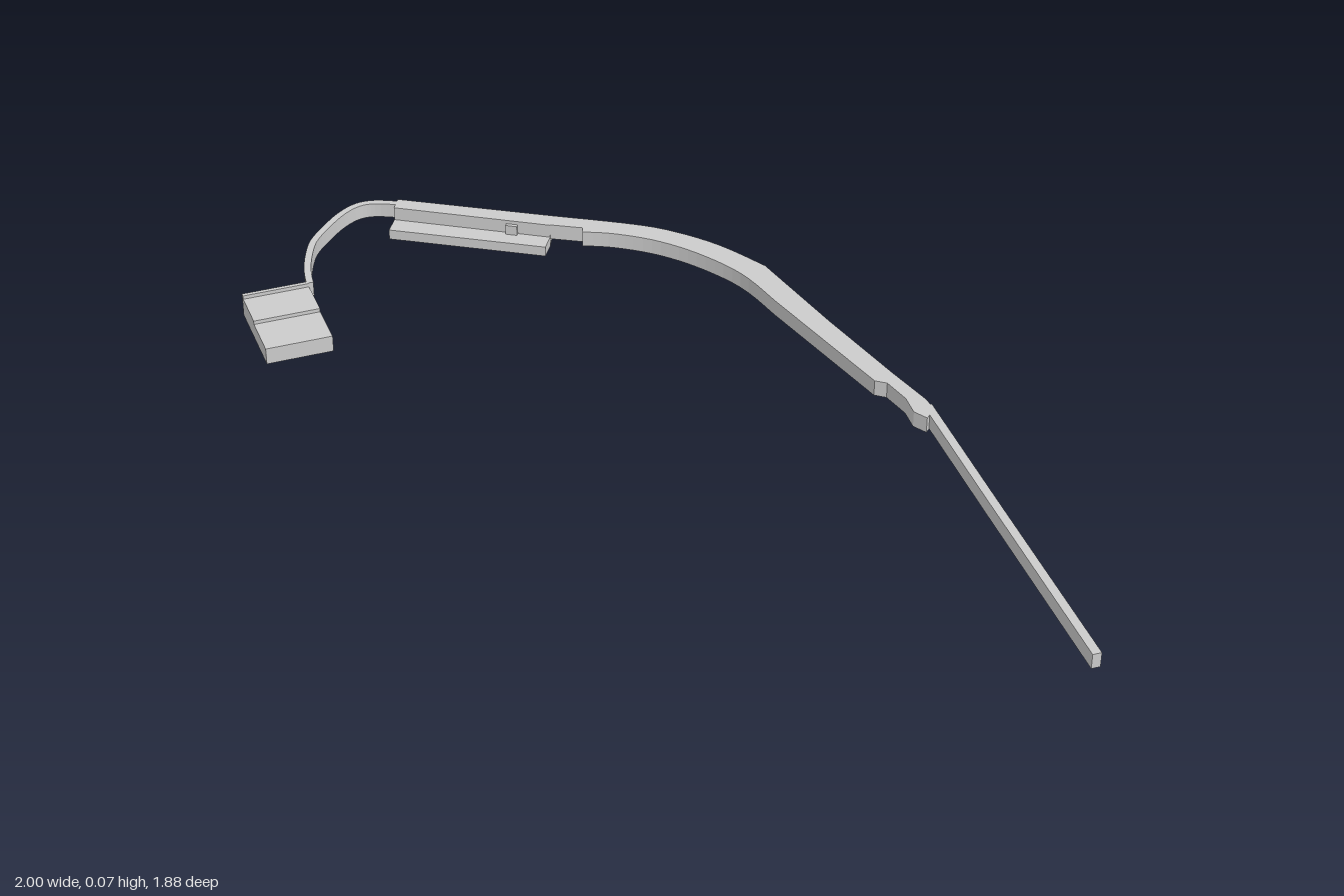
import * as THREE from 'three';

const TOP = 0.065, BASE = 0.025;
const material = new THREE.MeshStandardMaterial({ color: 0xcccccc, flatShading: true });
const vectors = (points) => points.map(([x, z]) => new THREE.Vector2(x, z));

// Smooth plan curve through a few points
const smooth = (points, n = 24) => new THREE.SplineCurve(vectors(points)).getPoints(n).map((p) => [p.x, p.y]);

// Extrudes a plan outline of [x, z] points from y0 up to y1
function slab(name, outline, y0, y1) {
  const shape = new THREE.Shape(vectors(outline.map(([x, z]) => [x, -z])));
  const geometry = new THREE.ExtrudeGeometry(shape, { depth: y1 - y0, bevelEnabled: false });
  geometry.rotateX(-Math.PI / 2).translate(0, y0, 0);
  const mesh = new THREE.Mesh(geometry, material);
  mesh.name = name;
  return mesh;
}

// Plan outline of constant width around a centre line
function ribbon(points, width) {
  const sides = [[], []];
  points.forEach(([x, z], i) => {
    const a = points[Math.max(i - 1, 0)], b = points[Math.min(i + 1, points.length - 1)];
    const dx = b[0] - a[0], dz = b[1] - a[1], k = width / 2 / Math.hypot(dx, dz);
    sides[0].push([x - dz * k, z + dx * k]);
    sides[1].unshift([x + dz * k, z - dx * k]);
  });
  return [...sides[0], ...sides[1]];
}

export function createModel() {
  const group = new THREE.Group();
  group.name = 'curvedWall';

  // Broad wall: smooth bend, then a straight run with a stepped inner edge
  const outer = [
    ...smooth([[-0.22, -0.86], [0, -0.815], [0.11, -0.775], [0.22, -0.71], [0.33, -0.615]]),
    [0.48, -0.36], [0.62, -0.135], [0.695, -0.02], [0.71, 0.02],
  ];
  const inner = [
    [0.69, 0.055], [0.66, 0.03], [0.645, -0.025], [0.605, -0.09], [0.575, -0.1],
    ...smooth([[0.35, -0.45], [0.27, -0.575], [0.165, -0.67], [0.055, -0.735], [-0.055, -0.77], [-0.14, -0.78]]),
    [-0.14, -0.8], [-0.225, -0.815],
  ];
  group.add(slab('bendWall', [...outer, ...inner], 0.022, TOP));

  // Deeper straight wall with a low ledge and a small block on its inner face
  group.add(slab('straightWall', [[-0.63, -0.945], [-0.22, -0.86], [-0.225, -0.813], [-0.638, -0.903]], 0, TOP));
  group.add(slab('ledge', [[-0.638, -0.903], [-0.225, -0.813], [-0.237, -0.765], [-0.65, -0.852]], 0, 0.028));
  group.add(slab('wallBlock', [[-0.34, -0.84], [-0.31, -0.834], [-0.312, -0.822], [-0.342, -0.829]], 0.028, 0.055));

  // Long thin tail
  group.add(slab('tailWall', ribbon([[0.695, 0], [0.72, 0.08], [0.81, 0.37], [0.985, 0.928]], 0.022), BASE, TOP));

  // Thin curved wall leading to the platform
  const hook = smooth([[-0.63, -0.927], [-0.69, -0.932], [-0.735, -0.918], [-0.775, -0.875], [-0.81, -0.81],
    [-0.838, -0.74], [-0.845, -0.665], [-0.842, -0.6], [-0.832, -0.545]], 32);
  group.add(slab('hookWall', ribbon(hook, 0.018), BASE, TOP));

  // Stepped platform, placed by its own tilted axes
  const corner = [-1, -0.495], across = [0.162, -0.056], along = [0.078, 0.218];
  const at = (u, v) => [0, 1].map((i) => corner[i] + across[i] * u + along[i] * v);
  const patch = (v0, v1) => [at(0, v0), at(1, v0), at(1, v1), at(0, v1)];
  group.add(slab('platformRim', patch(0, 0.045), 0, TOP));
  group.add(slab('platformBack', patch(0.045, 0.5), 0, 0.055));
  group.add(slab('platformFront', patch(0.5, 1), 0, 0.045));
  return group;
}
